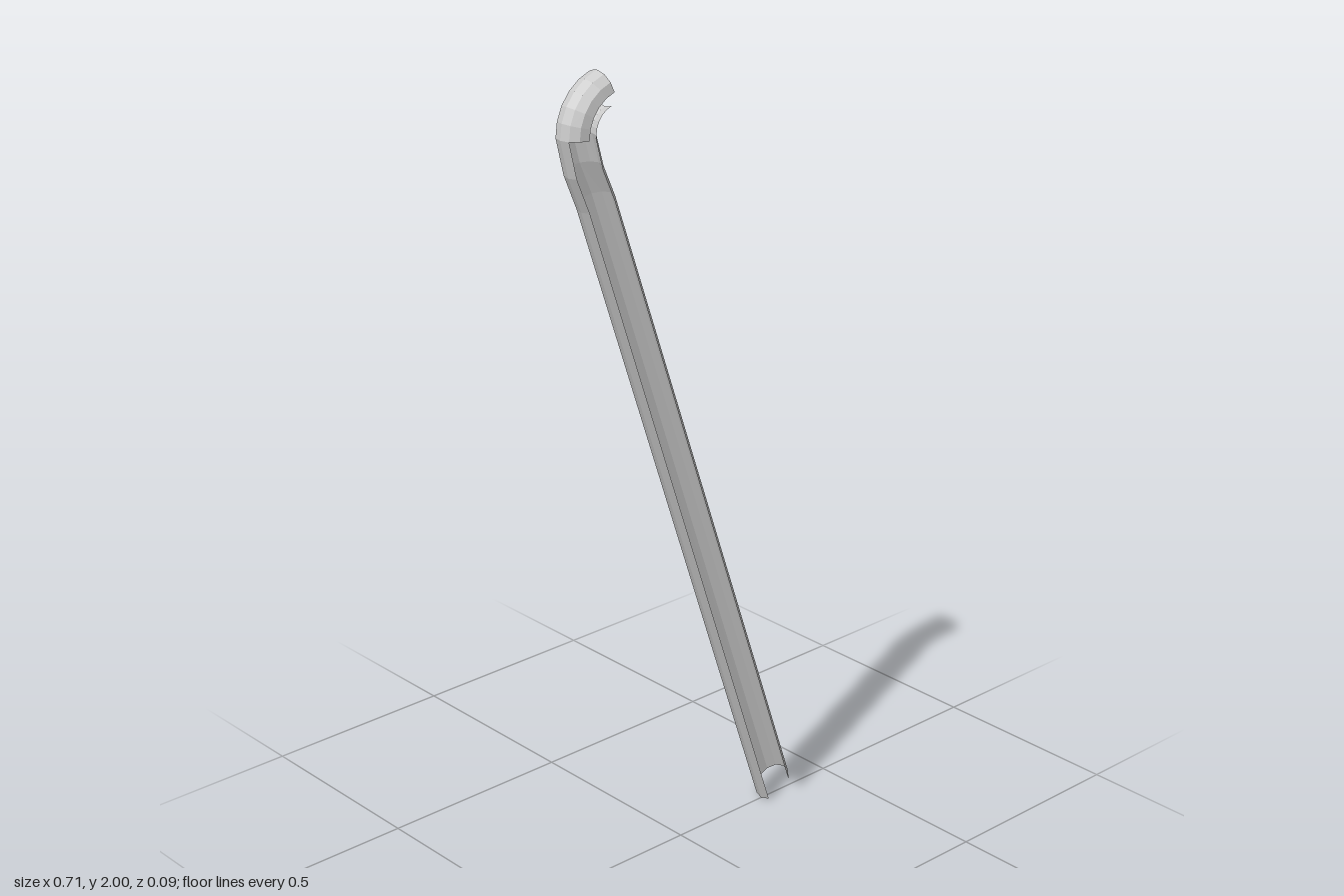
import * as THREE from 'three';

const R = 0.045;
const rad = THREE.MathUtils.degToRad;

// Skins rings [centreX, centreY, halfX, halfY] between two angles;
// 0 degrees points along the half vector (+x side), 90 degrees to the front.
function skin(name, rings, from, to, material) {
  const sides = Math.round((to - from) / 30);
  const pos = [], index = [];
  rings.forEach(([cx, cy, hx, hy], r) => {
    for (let i = 0; i <= sides; i++) {
      const a = rad(from + (to - from) * i / sides);
      pos.push(cx + hx * Math.cos(a), cy + hy * Math.cos(a), R * Math.sin(a));
      if (r > 0 && i < sides) {
        const b = r * (sides + 1) + i, p = b - sides - 1;
        index.push(p, b, p + 1, p + 1, b, b + 1);
      }
    }
  });
  const geometry = new THREE.BufferGeometry();
  geometry.setAttribute('position', new THREE.Float32BufferAttribute(pos, 3));
  geometry.setIndex(index);
  geometry.computeVertexNormals();
  const mesh = new THREE.Mesh(geometry, material);
  mesh.name = name;
  return mesh;
}

// Ring square to an axis that leans by the given angle
const ring = (x, y, lean) => [x, y, R * Math.cos(rad(lean)), R * Math.sin(rad(lean))];

export function createModel() {
  const group = new THREE.Group();
  group.name = 'bentPipe';
  const material = new THREE.MeshStandardMaterial({
    color: 0xcccccc, side: THREE.DoubleSide, flatShading: true });

  // Long leaning pipe, open along its front left, with a slanted foot
  const shaft = [
    [0.316, 0.0315, 0.039, 0.0315],
    ring(-0.252, 1.7, 18.7),
    ring(-0.286, 1.78, 12),
    ring(-0.306, 1.86, 0),
  ];
  group.add(skin('pipeShaft', shaft, 150, 420, material));

  // Elbow bending over to +x, open along its inner front
  const elbow = [];
  for (let i = 0; i <= 5; i++) {
    const a = 75 * i / 5, c = Math.cos(rad(a)), s = Math.sin(rad(a));
    elbow.push([-0.208 - 0.098 * c, 1.86 + 0.098 * s, R * c, -R * s]);
  }
  group.add(skin('pipeElbow', elbow, 90, 390, material));
  return group;
}
